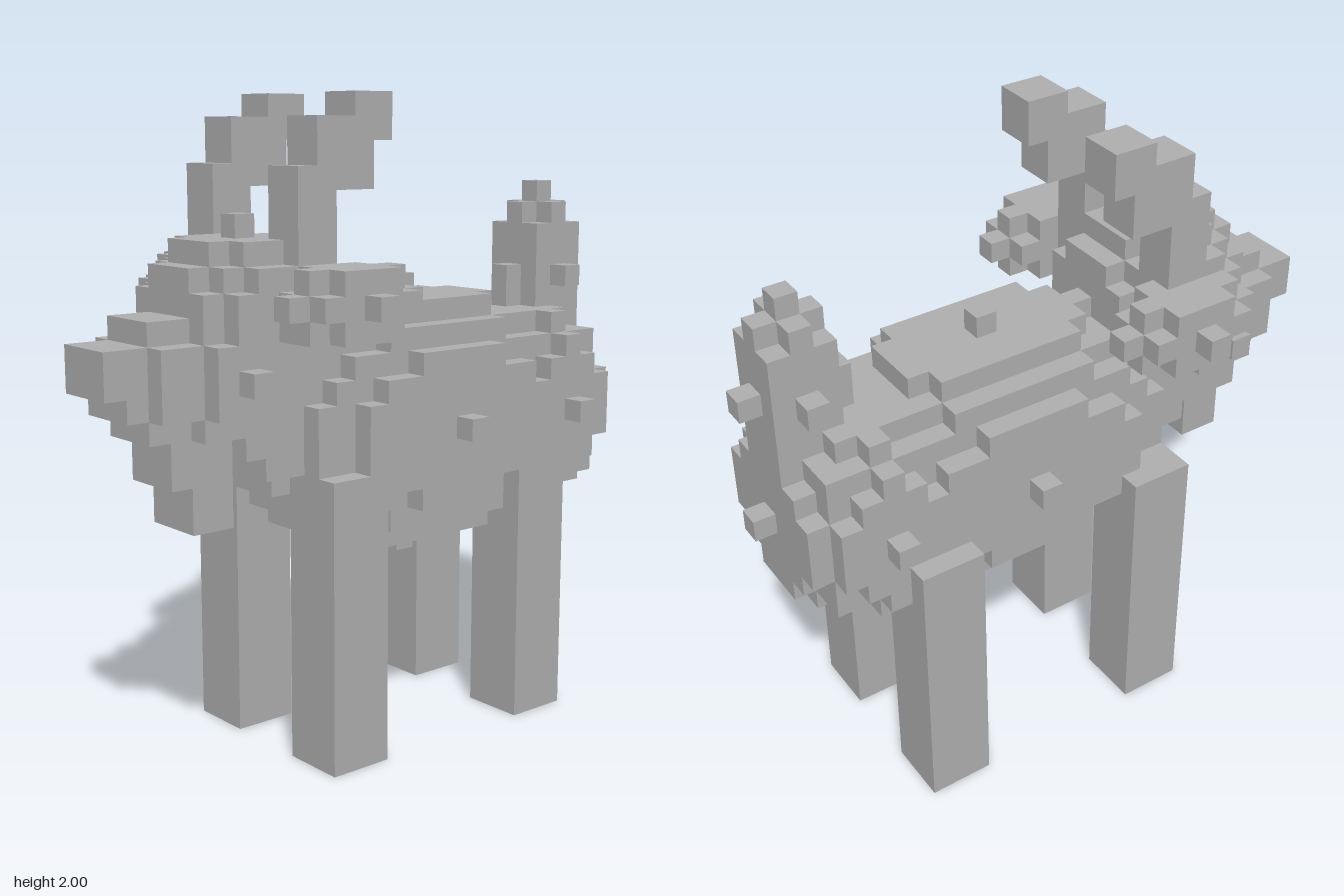
import * as THREE from 'three';

const V = 2 / 29; // edge of one block

export function createModel() {
  const group = new THREE.Group();
  group.name = 'goat';
  const grey = new THREE.MeshStandardMaterial({ color: 0xb0b0b0 });
  grey.name = 'grey';

  // Each grid cell belongs to the first part that claims it
  const owner = new Map();
  const key = (x, y, z) => `${x},${y},${z}`;
  const parts = {};
  function put(part, x, y, z) {
    const k = key(x, y, z);
    if (owner.has(k)) return;
    owner.set(k, part);
    (parts[part] ??= []).push([x, y, z]);
  }
  // Box of cells, both ends included
  function box(part, [x0, x1], [y0, y1], [z0, z1]) {
    for (let x = x0; x <= x1; x++)
      for (let y = y0; y <= y1; y++)
        for (let z = z0; z <= z1; z++) put(part, x, y, z);
  }
  // Ellipsoid of cells about a centre cell
  function ellipsoid(part, [cx, cy, cz], [rx, ry, rz]) {
    const [a, b, c] = [rx, ry, rz].map(Math.floor);
    for (let x = -a; x <= a; x++)
      for (let y = -b; y <= b; y++)
        for (let z = -c; z <= c; z++)
          if ((x / rx) ** 2 + (y / ry) ** 2 + (z / rz) ** 2 <= 1.0001)
            put(part, cx + x, cy + y, cz + z);
  }

  // Trunk and tail
  ellipsoid('body', [0, 14, -3], [5, 6, 9]);
  ellipsoid('rump', [0, 14, -10], [5, 5, 4]);
  ellipsoid('tail', [0, 20, -12], [2, 4, 2]);

  // Neck, stepped under the throat
  box('neck', [-2, 2], [13, 13], [3, 6]);
  box('neck', [-2, 2], [14, 18], [3, 7]);

  // Head, cheeks, snout and beard
  ellipsoid('head', [0, 19, 6], [4, 4, 4]);
  ellipsoid('cheeks', [0, 17, 8], [4, 3, 3]);
  ellipsoid('snout', [0, 17, 8], [3, 3, 5]);
  box('nose', [-1, 1], [17, 18], [12, 13]);
  box('beard', [-1, 1], [13, 14], [8, 10]);
  box('beard', [-1, 1], [11, 12], [8, 9]);

  // Ears
  for (const [name, s] of [['leftEar', 1], ['rightEar', -1]])
    ellipsoid(name, [5 * s, 20, 4], [2, 1.5, 3]);

  // Horns, stepping up and back
  for (const [name, x] of [['leftHorn', 2], ['rightHorn', -4]]) {
    box(name, [x, x + 1], [20, 25], [4, 5]);
    box(name, [x, x + 1], [25, 27], [2, 4]);
    box(name, [x, x + 1], [27, 28], [1, 2]);
  }

  // Legs
  for (const [side, x] of [['left', 2], ['right', -5]])
    for (const [end, z] of [['Front', 2], ['Back', -9]])
      box(`${side}${end}Leg`, [x, x + 2], [0, 12], [z, z + 2]);

  // Build every part from its exposed cell faces only
  for (const [name, cells] of Object.entries(parts)) {
    const pos = [], nor = [], idx = [];
    for (const c of cells)
      for (let axis = 0; axis < 3; axis++)
        for (const s of [1, -1]) {
          const n = [0, 0, 0];
          n[axis] = s;
          if (owner.has(key(c[0] + n[0], c[1] + n[1], c[2] + n[2]))) continue;
          const b = pos.length / 3;
          const u = (axis + 1) % 3, w = (axis + 2) % 3;
          for (const [p, q] of [[-1, -1], [1, -1], [1, 1], [-1, 1]]) {
            const o = [0, 0, 0];
            o[axis] = s / 2;
            o[u] = (p * s) / 2;
            o[w] = q / 2;
            pos.push((c[0] + o[0]) * V, (c[1] + 0.5 + o[1]) * V, (c[2] + 0.5 + o[2]) * V);
            nor.push(...n);
          }
          idx.push(b, b + 1, b + 2, b, b + 2, b + 3);
        }
    if (!idx.length) continue;
    const geo = new THREE.BufferGeometry();
    geo.setAttribute('position', new THREE.Float32BufferAttribute(pos, 3));
    geo.setAttribute('normal', new THREE.Float32BufferAttribute(nor, 3));
    geo.setIndex(idx);
    const mesh = new THREE.Mesh(geo, grey);
    mesh.name = name;
    group.add(mesh);
  }
  return group;
}
